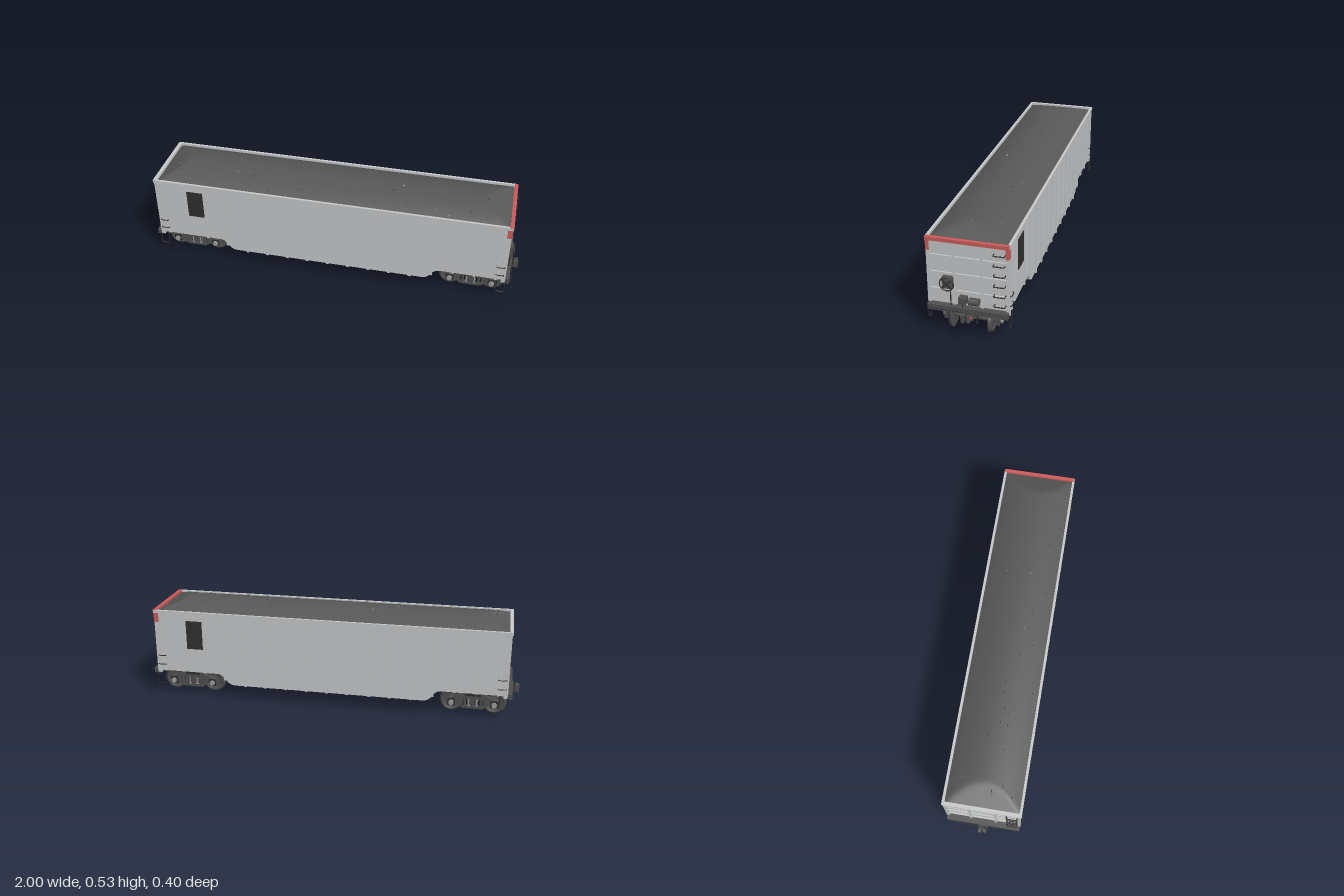
import * as THREE from 'three';

const mat = (name, color, opt = {}) => {
  const m = new THREE.MeshStandardMaterial({ color, ...opt });
  m.name = name;
  return m;
};

export function createModel() {
  const paint = mat('body grey', 0xc6c8c9);
  const red = mat('marker red', 0xcc5c5c);
  const dark = mat('underframe grey', 0x505050);
  const black = mat('fitting black', 0x303030);
  const coal = mat('load grey', 0x585858);
  const steel = mat('bearing steel', 0x9c9c9c);

  const root = new THREE.Group();
  root.name = 'hopperWagon';

  const add = (parent, name, geo, m, x = 0, y = 0, z = 0) => {
    const mesh = new THREE.Mesh(geo, m);
    mesh.name = name;
    mesh.position.set(x, y, z);
    parent.add(mesh);
    return mesh;
  };
  // Box given by its minimum and maximum on each axis
  const box = (parent, name, m, x0, x1, y0, y1, z0, z1) =>
    add(parent, name, new THREE.BoxGeometry(x1 - x0, y1 - y0, z1 - z0), m,
      (x0 + x1) / 2, (y0 + y1) / 2, (z0 + z1) / 2);
  const cylZ = (parent, name, m, r, len, x, y, z, seg = 16) =>
    add(parent, name, new THREE.CylinderGeometry(r, r, len, seg).rotateX(Math.PI / 2), m, x, y, z);
  // Thin bent rod through a list of points
  const rod = (parent, name, m, r, pts) => {
    const path = new THREE.CurvePath();
    const v = pts.map(p => new THREE.Vector3(...p));
    for (let i = 1; i < v.length; i++) path.add(new THREE.LineCurve3(v[i - 1], v[i]));
    return add(parent, name, new THREE.TubeGeometry(path, (v.length - 1) * 4, r, 6), m);
  };
  // Plate extruded along z, centred on z = 0
  const plate = (shape, depth) => new THREE.ExtrudeGeometry(shape,
    { depth, bevelEnabled: false, curveSegments: 12 }).translate(0, 0, -depth / 2);

  // Tub with a belly dropped between the trucks
  const tub = new THREE.Shape();
  tub.moveTo(-0.932, 0.472);
  tub.lineTo(-0.932, 0.14);
  tub.lineTo(-0.605, 0.14);
  tub.bezierCurveTo(-0.55, 0.14, -0.565, 0.08, -0.505, 0.08);
  tub.lineTo(0.505, 0.08);
  tub.bezierCurveTo(0.565, 0.08, 0.55, 0.14, 0.605, 0.14);
  tub.lineTo(0.932, 0.14);
  tub.lineTo(0.932, 0.472);
  add(root, 'tub', plate(tub, 0.37), paint);
  box(root, 'bellySeam', black, -0.5, 0.5, 0.077, 0.081, -0.006, 0.006);

  // Heaped load: a long hipped mound
  const heap = (x, z) => 0.473 + 0.046 * Math.max(0,
    Math.min(1 - (z / 0.186) ** 2, (0.932 - Math.abs(x)) / 0.12));
  const mound = new THREE.PlaneGeometry(1.864, 0.372, 120, 24).rotateX(-Math.PI / 2);
  const mp = mound.attributes.position;
  for (let i = 0; i < mp.count; i++) mp.setY(i, heap(mp.getX(i), mp.getZ(i)));
  mound.computeVertexNormals();
  add(root, 'load', mound, coal);
  let seed = 7;
  const rnd = () => (seed = (seed * 16807) % 2147483647) / 2147483647;
  const lump = new THREE.TetrahedronGeometry(0.011);
  for (let i = 0; i < 46; i++) {
    const x = (rnd() - 0.5) * 1.72, z = (rnd() - 0.5) * 0.32;
    const m = add(root, 'loadLump', lump, coal, x, heap(x, z) - 0.003, z);
    m.rotation.set(rnd() * 6, rnd() * 6, rnd() * 6);
  }

  // One long side, built facing +z; the other is its half turn
  const makeSide = redEnd => {
    const g = new THREE.Group();
    g.name = 'side';
    for (let k = -8; k <= 8; k++) {
      if (k === -7) continue;
      const x = k * 0.1115, a = Math.abs(k);
      const low = a < 5 ? 0.08 : a === 5 ? 0.108 : 0.14;
      box(g, 'sideRib', paint, x - 0.007, x + 0.007, low, 0.472, 0.18, 0.193);
    }
    box(g, 'topRail', paint, -0.942, 0.942, 0.47, 0.486, 0.184, 0.197);
    box(g, 'placard', black, -0.767, -0.67, 0.275, 0.432, 0.184, 0.188);
    for (const s of [-1, 1]) {
      box(g, 'cornerPost', paint, s * 0.93 - 0.011, s * 0.93 + 0.011, 0.13, 0.472, 0.178, 0.193);
      // Grab irons and step stirrup at each corner
      for (const y of [0.18, 0.23])
        rod(g, 'sideGrabIron', black, 0.0025,
          [[s * 0.89, y, 0.188], [s * 0.89, y, 0.2], [s * 0.93, y, 0.2], [s * 0.93, y, 0.188]]);
      rod(g, 'stepStirrup', black, 0.0028,
        [[s * 0.9, 0.14, 0.192], [s * 0.9, 0.067, 0.192], [s * 0.942, 0.067, 0.192], [s * 0.942, 0.14, 0.192]]);
    }
    // Red corner mark on the side face
    box(g, 'sideMarker', red, redEnd * 0.93 - 0.012, redEnd * 0.93 + 0.0115, 0.42, 0.47, 0.19, 0.1945);
    return g;
  };
  const back = makeSide(-1);
  back.rotation.y = Math.PI;
  root.add(makeSide(1), back);

  // One end, built facing +x
  const makeEnd = marked => {
    const g = new THREE.Group();
    g.name = 'end';
    for (const z of [-0.065, 0.065]) box(g, 'endPost', paint, 0.925, 0.94, 0.14, 0.472, z - 0.006, z + 0.006);
    for (const y of [0.222, 0.308, 0.394]) box(g, 'endRib', paint, 0.925, 0.9395, y - 0.006, y + 0.006, -0.18, 0.18);
    box(g, 'endRail', marked ? red : paint, 0.927, 0.946, 0.47, 0.487, -0.195, 0.195);
    if (marked) for (const s of [-1, 1])
      box(g, 'endMarker', red, 0.939, 0.943, 0.42, 0.47, s * 0.1855 - 0.008, s * 0.1855 + 0.008);
    for (let i = 0; i < 6; i++) {
      const y = 0.18 + i * 0.0516;
      rod(g, 'ladderRung', black, 0.0027,
        [[0.93, y, -0.122], [0.955, y, -0.122], [0.955, y, -0.174], [0.93, y, -0.174]]);
    }
    // End platform, draft gear and coupler
    box(g, 'endPlatform', dark, 0.925, 0.963, 0.124, 0.152, -0.19, 0.19);
    box(g, 'centreSill', dark, 0.58, 0.95, 0.098, 0.142, -0.035, 0.035);
    box(g, 'couplerPocket', dark, 0.94, 0.97, 0.095, 0.136, -0.026, 0.026);
    box(g, 'couplerShank', black, 0.96, 0.985, 0.107, 0.13, -0.011, 0.011);
    box(g, 'couplerJaw', dark, 0.976, 1, 0.1, 0.138, 0.004, 0.02);
    add(g, 'couplerKnuckle', new THREE.CylinderGeometry(0.01, 0.01, 0.034, 12), dark, 0.988, 0.118, -0.012);
    rod(g, 'uncouplingLever', black, 0.002,
      [[0.962, 0.137, 0.19], [0.97, 0.137, 0.175], [0.97, 0.137, -0.02], [0.982, 0.125, -0.02]]);
    rod(g, 'airHose', black, 0.004,
      [[0.95, 0.13, -0.053], [0.972, 0.125, -0.053], [0.978, 0.095, -0.05]]);
    return g;
  };
  const plainEnd = makeEnd(false);
  plainEnd.rotation.y = Math.PI;
  root.add(makeEnd(true), plainEnd);

  // Hand brake and valve gear on the marked end
  const brake = new THREE.Group();
  brake.name = 'handBrake';
  root.add(brake);
  add(brake, 'brakeWheel', new THREE.TorusGeometry(0.033, 0.003, 8, 28).rotateY(Math.PI / 2), black, 0.966, 0.27, 0.092);
  for (const a of [Math.PI / 4, -Math.PI / 4])
    add(brake, 'brakeSpoke', new THREE.BoxGeometry(0.004, 0.066, 0.006), black, 0.966, 0.27, 0.092).rotation.x = a;
  box(brake, 'brakeHousing', dark, 0.93, 0.96, 0.243, 0.3, 0.068, 0.116);
  rod(brake, 'brakeRod', black, 0.003, [[0.95, 0.245, 0.08], [0.95, 0.145, 0.08]]);
  box(brake, 'valveBox', dark, 0.93, 0.964, 0.172, 0.205, 0.005, 0.041);
  cylZ(brake, 'airCylinder', dark, 0.018, 0.048, 0.952, 0.189, -0.031, 20);
  rod(brake, 'valvePipe', black, 0.0025, [[0.95, 0.175, 0.025], [0.95, 0.148, 0.025]]);
  cylZ(brake, 'valveRod', black, 0.004, 0.02, 0.95, 0.189, 0);
  box(brake, 'couplerTag', red, 0.968, 0.974, 0.108, 0.122, -0.026, -0.012);

  // Wheel profile turned about the axle; the flange faces the inside
  const wheelGeo = new THREE.LatheGeometry([[0, -0.009], [0.054, -0.009], [0.0625, -0.007], [0.0625, -0.004],
    [0.058, -0.001], [0.057, 0.009], [0.048, 0.009], [0.044, 0.003], [0.022, 0.001], [0.018, 0.008], [0, 0.008]]
    .map(p => new THREE.Vector2(...p)), 32).rotateX(Math.PI / 2);

  // Side frame with a window for the spring nest on each side of the bolster
  const frame = new THREE.Shape([[-0.135, 0.045], [-0.135, 0.082], [-0.1, 0.092], [-0.06, 0.113], [0.06, 0.113],
    [0.1, 0.092], [0.135, 0.082], [0.135, 0.045], [0.085, 0.055], [0.05, 0.033], [-0.05, 0.033], [-0.085, 0.055]]
    .map(p => new THREE.Vector2(...p)));
  frame.holes.push(new THREE.Path([[-0.055, 0.046], [0.055, 0.046], [0.055, 0.088], [-0.055, 0.088]]
    .map(p => new THREE.Vector2(...p))));
  const frameGeo = plate(frame, 0.016);

  // Body bolster seen across the truck, tapering outwards
  const bolsterGeo = plate(new THREE.Shape([[-0.17, 0.142], [-0.14, 0.122], [-0.07, 0.097], [0.07, 0.097],
    [0.14, 0.122], [0.17, 0.142]].map(p => new THREE.Vector2(...p))), 0.1).rotateY(Math.PI / 2);

  for (const s of [-1, 1]) {
    const t = new THREE.Group();
    t.name = 'truck';
    t.position.x = s * 0.765;
    root.add(t);
    add(t, 'bodyBolster', bolsterGeo, dark);
    box(t, 'truckBolster', dark, -0.028, 0.028, 0.052, 0.088, -0.132, 0.132);
    add(t, 'centrePlate', new THREE.CylinderGeometry(0.03, 0.03, 0.02, 20), black, 0, 0.093, 0);
    for (const side of [-1, 1]) {
      const z = side * 0.125;
      add(t, 'sideFrame', frameGeo, dark, 0, 0, z);
      box(t, 'sideBearing', black, -0.04, 0.04, 0.105, 0.142, z - 0.012, z + 0.012);
      for (let i = -2; i <= 2; i++)
        add(t, 'spring', new THREE.CylinderGeometry(0.008, 0.008, 0.042, 10), i % 2 ? steel : dark, i * 0.021, 0.067, z);
      for (const x of [-0.111, 0.111]) {
        const w = add(t, 'wheel', wheelGeo, dark, x, 0.0625, side * 0.093);
        if (side < 0) w.rotation.y = Math.PI;
        box(t, 'axleBox', black, x - 0.02, x + 0.02, 0.045, 0.084, z - 0.009, z + 0.009);
        cylZ(t, 'bearingCap', steel, 0.014, 0.014, x, 0.0625, side * 0.136);
      }
      // Brake beams between the wheel pairs
      cylZ(t, 'brakeBeam', black, 0.005, 0.2, side * 0.042, 0.06, 0, 8);
    }
    for (const x of [-0.111, 0.111]) cylZ(t, 'axle', dark, 0.013, 0.25, x, 0.0625, 0);
  }
  return root;
}
